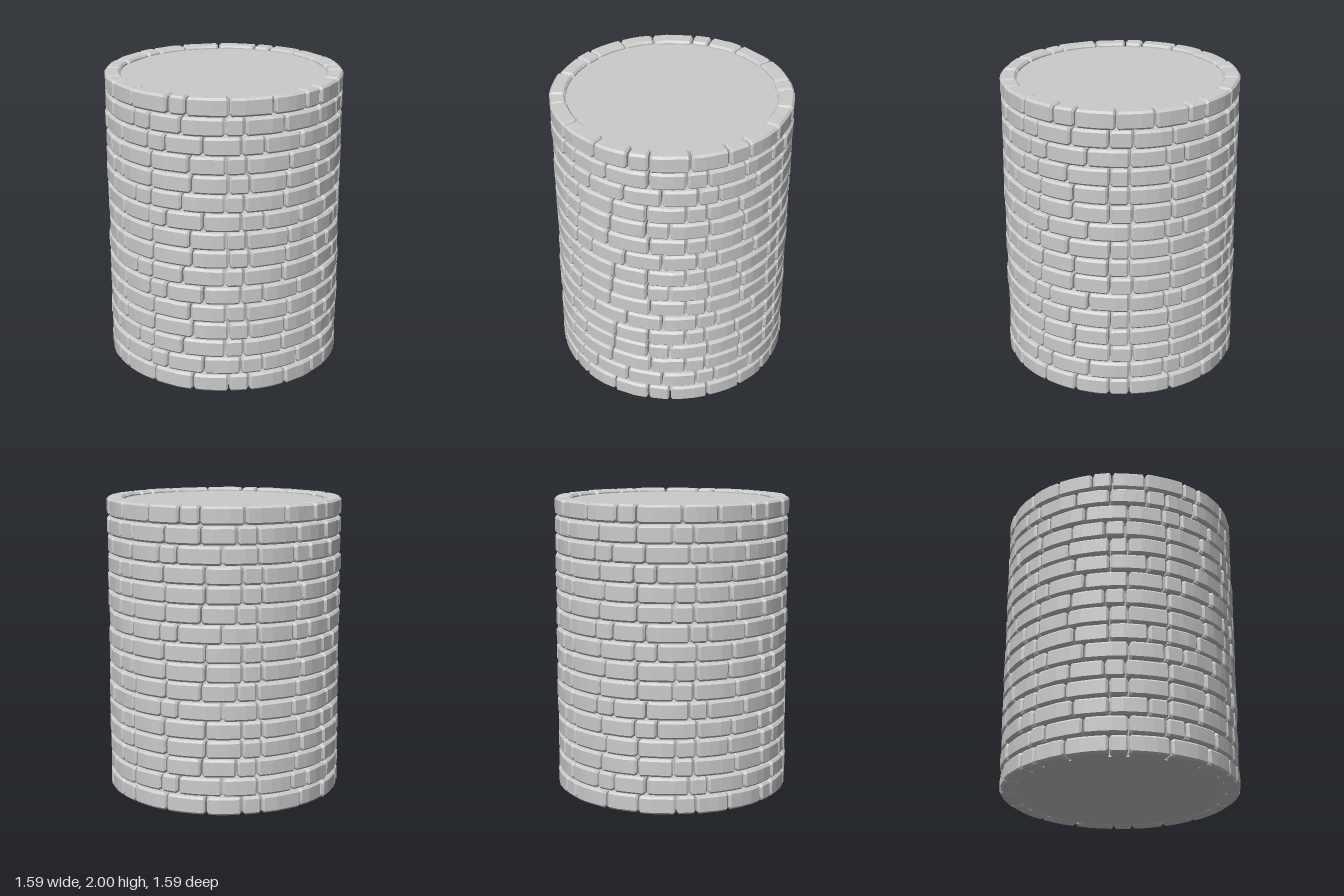
import * as THREE from 'three';

const COURSES = 16, COURSE_H = 0.125, OUTER = 0.79, INNER = 0.683;
const DEG = Math.PI / 180;

// Joint angles round one course, in degrees anticlockwise from +x seen from above
const JOINTS = [-170.7, -161, -144.4, -123.7, -114.7, -95, -74, -56.6, -46.7, -28, -10,
  1, 20, 38, 54.8, 64.6, 85.5, 105.5, 122.8, 132.4, 154, 171];
// Courses repeat in fours, each turned so the joints are staggered
const TURNS = [-38.4, -79, 27, -38.4, 141, -79, 27, -38.4, 141, -79, 27, -38.4, 141, -79, 27, 0];

let seed = 7;
function jitter(amount) {
  seed = (seed * 16807) % 2147483647;
  return (seed / 2147483647 * 2 - 1) * amount;
}

// Octagonal bevelled cross-section as [radius, height] pairs
function section(r0, r1, y0, y1, b) {
  return [[r0 + b, y0], [r1 - b, y0], [r1, y0 + b], [r1, y1 - b],
    [r1 - b, y1], [r0 + b, y1], [r0, y1 - b], [r0, y0 + b]];
}

// One curved, bevelled, slightly uneven brick appended to a position list
function addBrick(out, a0, a1, y0, y1) {
  const bevel = 0.014, edge = bevel / OUTER;
  const r1 = OUTER + jitter(0.004), r0 = INNER + jitter(0.006);
  const steps = a1 - a0 > 0.22 ? 3 : 1;
  const rings = [];
  const addRing = (angle, inset, wobble) => {
    const dr = jitter(wobble), dy = jitter(wobble * 0.5);
    const pts = section(r0 + inset, r1 - inset + dr, y0 + inset, y1 - inset + dy, bevel);
    rings.push(pts.map(([r, y]) =>
      new THREE.Vector3(r * Math.cos(angle), y, -r * Math.sin(angle))));
  };
  addRing(a0, bevel * 0.8, 0);
  for (let i = 0; i <= steps; i++) {
    addRing(THREE.MathUtils.lerp(a0 + edge, a1 - edge, i / steps), 0, 0.003);
  }
  addRing(a1, bevel * 0.8, 0);

  const tri = (...corners) => corners.forEach(v => out.push(v.x, v.y, v.z));
  for (let k = 0; k < rings.length - 1; k++) {
    for (let i = 0; i < 8; i++) {
      const j = (i + 1) % 8, p = rings[k], q = rings[k + 1];
      tri(p[i], q[i], p[j]);
      tri(p[j], q[i], q[j]);
    }
  }
  const first = rings[0], last = rings[rings.length - 1];
  for (let i = 1; i < 7; i++) {
    tri(first[0], first[i], first[i + 1]);
    tri(last[0], last[i + 1], last[i]);
  }
}

export function createModel() {
  const group = new THREE.Group();
  group.name = 'brickTower';
  const stone = new THREE.MeshStandardMaterial({ color: 0xcccccc, flatShading: true });

  // Rings of bricks
  for (let c = 0; c < COURSES; c++) {
    const positions = [];
    const y0 = c * COURSE_H + (c === 0 ? 0.002 : 0.003);
    const y1 = (c + 1) * COURSE_H - (c === COURSES - 1 ? 0.001 : 0.003);
    JOINTS.forEach((start, i) => {
      const end = i + 1 < JOINTS.length ? JOINTS[i + 1] : JOINTS[0] + 360;
      const gap = 0.005 / OUTER + jitter(0.001);
      addBrick(positions, (start + TURNS[c]) * DEG + gap, (end + TURNS[c]) * DEG - gap,
        y0 + Math.abs(jitter(0.002)), y1 - Math.abs(jitter(0.002)));
    });
    const geometry = new THREE.BufferGeometry();
    geometry.setAttribute('position', new THREE.Float32BufferAttribute(positions, 3));
    geometry.computeVertexNormals();
    const course = new THREE.Mesh(geometry, stone);
    course.name = `brickCourse${c + 1}`;
    group.add(course);
  }

  // Solid core closing the tower at both ends
  const bottom = 0.008, top = 1.975;
  const core = new THREE.Mesh(
    new THREE.CylinderGeometry(0.695, 0.695, top - bottom, 64),
    new THREE.MeshStandardMaterial({ color: 0xcccccc }));
  core.position.y = (top + bottom) / 2;
  core.name = 'core';
  group.add(core);
  return group;
}
